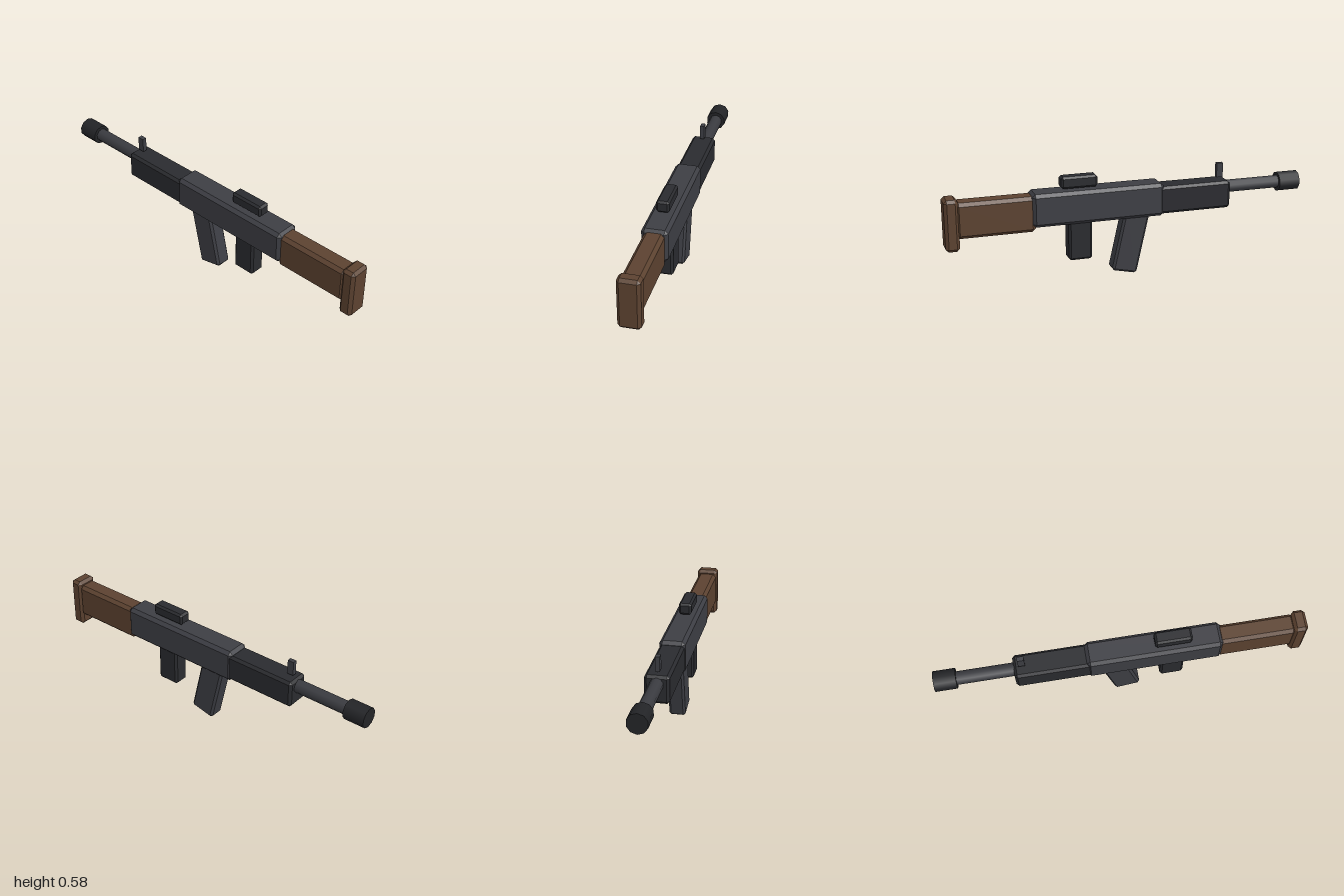
import * as THREE from 'three';
import { ConvexGeometry } from 'three/addons/geometries/ConvexGeometry.js';

const paint = (color, flatShading = true) => new THREE.MeshStandardMaterial({ color, flatShading });

// Box with every edge and corner cut off by the bevel b
function chamferBox(w, h, d, b) {
  const points = [];
  for (const x of [-1, 1]) for (const y of [-1, 1]) for (const z of [-1, 1]) {
    for (let face = 0; face < 3; face++) {
      const cut = [b, b, b];
      cut[face] = 0;
      points.push(new THREE.Vector3(x * (w / 2 - cut[0]), y * (h / 2 - cut[1]), z * (d / 2 - cut[2])));
    }
  }
  return new ConvexGeometry(points);
}

export function createModel() {
  const group = new THREE.Group();
  const wood = paint(0x5c4230);
  const steel = paint(0x3d3e44);
  const dark = paint(0x2a2b2f);

  function add(name, geometry, material, y, z) {
    const mesh = new THREE.Mesh(geometry, material);
    mesh.name = name;
    mesh.position.set(0, y, z);
    group.add(mesh);
    return mesh;
  }
  // Chamfered block given by its width and its y and z extents
  const block = (name, material, w, y0, y1, z0, z1, b) =>
    add(name, chamferBox(w, y1 - y0, z1 - z0, b), material, (y0 + y1) / 2, (z0 + z1) / 2);
  // Round part lying along z
  const rod = (name, material, r, z0, z1) =>
    add(name, new THREE.CylinderGeometry(r, r, z1 - z0, 10).rotateX(Math.PI / 2), material, 0.442, (z0 + z1) / 2);

  // Wooden stock and butt plate
  block('buttPlate', wood, 0.12, 0.235, 0.515, 0.925, 1, 0.016);
  block('stock', wood, 0.108, 0.3, 0.494, 0.52, 0.94, 0.018);

  // Body
  block('receiver', steel, 0.14, 0.326, 0.507, -0.19, 0.54, 0.018);
  block('handguard', dark, 0.13, 0.335, 0.487, -0.575, -0.16, 0.014);

  // Grip and slanted magazine
  block('grip', dark, 0.09, 0.115, 0.37, 0.212, 0.342, 0.012);
  add('magazine', chamferBox(0.09, 0.36, 0.142, 0.012), steel, 0.192, -0.008).rotation.x = -0.22;

  // Barrel and muzzle
  rod('barrel', paint(0x3a3b40, false), 0.036, -0.92, -0.55);
  rod('muzzle', paint(0x232427, false), 0.055, -1, -0.88);

  // Sights
  block('rearSight', dark, 0.07, 0.515, 0.58, 0.177, 0.376, 0.011);
  add('frontSight', new THREE.BoxGeometry(0.024, 0.08, 0.036), steel, 0.54, -0.53);

  return group;
}
